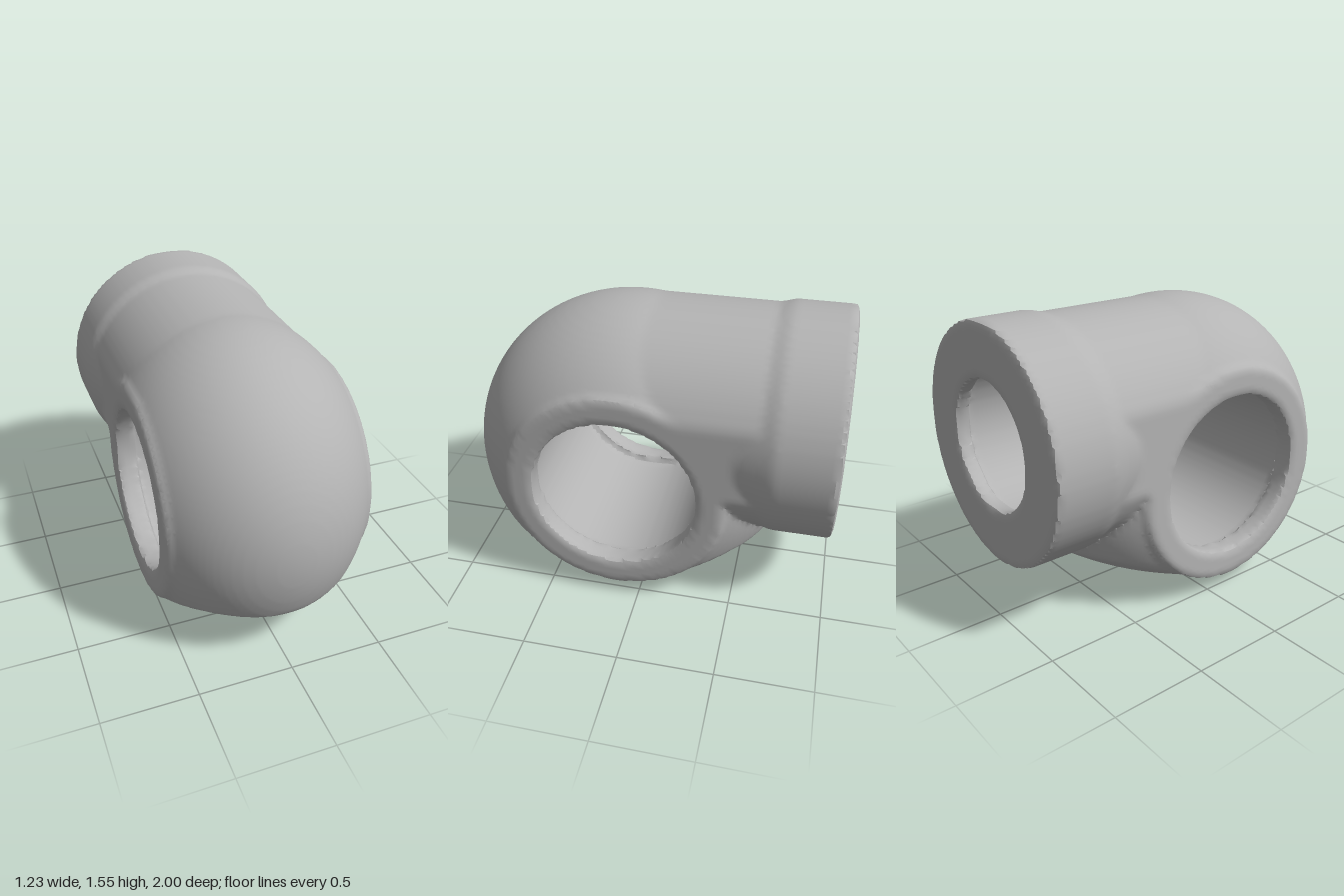
import * as THREE from 'three';
import { toCreasedNormals } from 'three/addons/utils/BufferGeometryUtils.js';

const { max, min, hypot, abs } = Math;
const STEP = 0.025;

// Main dimensions
const eye = { y: 0.67, z: 0.125, hole: 0.432, rim: 0.585, cavity: 0.475, lip: 0.12 }; // crosswise hole
const neck = { y: 0.945, r: 0.592, collar: 0.613, bore: 0.33, cavity: 0.4, lip: 0.09 }; // tube to the back
const SIDE = 0.555;

// Solid as a rule: negative inside, positive outside
function housingField(x, y, z) {
  const dy = y - eye.y, dz = z - eye.z;
  const eyeR = hypot(dy, dz);
  const neckR = hypot(x, y - neck.y);

  // Rounded head, with a shallow bowl as its underside
  const dome = (hypot(x / 0.71, dy / 0.875, dz / 0.875) - 1) * 0.8;
  const bowl = 0.005 + 0.48 * dz * dz + 0.4 * x * x + 0.8 * x * x * dz * dz - y;
  const head = max(dome, bowl);

  // Round rim of the crosswise hole and the straight neck
  const rim = eyeR - eye.rim;
  const tube = max(neckR - neck.r, z - eye.z);
  const body = max(min(head, rim, tube), abs(x) - SIDE);

  // Collar at the back, tapering forwards into the flat sides
  const collar = max(neckR - (neck.collar - 0.3 * max(0, z + 0.68)), z + 0.4);
  const outside = max(min(body, collar), -1 - z);

  // Openings, and the wider hollows behind their lips
  const hole = eyeR - eye.hole;
  const eyeHollow = max(eyeR - eye.cavity, abs(x) - SIDE + eye.lip);
  const bore = max(neckR - neck.bore, z - 0.1);
  const neckHollow = max(neckR - neck.cavity, z - 0.1, -1 + neck.lip - z);
  return max(outside, -min(hole, eyeHollow, bore, neckHollow));
}

// Skin a field: one vertex per cell crossed by the surface, one quad per crossed edge
function skin(field, low, high) {
  const n = low.map((v, i) => Math.ceil((high[i] - v) / STEP) + 1);
  const stride = [1, n[0], n[0] * n[1]];
  const values = new Float32Array(n[0] * n[1] * n[2]);
  const each = (from, fn) => {
    for (let k = from; k < n[2] - 1; k++)
      for (let j = from; j < n[1] - 1; j++)
        for (let i = from; i < n[0] - 1; i++) fn([i, j, k], i + j * stride[1] + k * stride[2]);
  };
  for (let k = 0, id = 0; k < n[2]; k++)
    for (let j = 0; j < n[1]; j++)
      for (let i = 0; i < n[0]; i++, id++)
        values[id] = field(low[0] + i * STEP, low[1] + j * STEP, low[2] + k * STEP);

  const positions = [], index = [];
  const vertexOf = new Int32Array(values.length).fill(-1);
  each(0, (cell, id) => {
    const sum = [0, 0, 0];
    let count = 0;
    for (let a = 0; a < 3; a++) {
      const b = (a + 1) % 3, c = (a + 2) % 3;
      for (let e = 0; e < 4; e++) {
        const ob = e & 1, oc = e >> 1;
        const start = id + ob * stride[b] + oc * stride[c];
        const v0 = values[start], v1 = values[start + stride[a]];
        if (v0 < 0 === v1 < 0) continue;
        sum[a] += v0 / (v0 - v1);
        sum[b] += ob;
        sum[c] += oc;
        count++;
      }
    }
    if (!count) return;
    vertexOf[id] = positions.length / 3;
    for (let a = 0; a < 3; a++) positions.push(low[a] + (cell[a] + sum[a] / count) * STEP);
  });

  each(1, (cell, id) => {
    for (let a = 0; a < 3; a++) {
      const inside = values[id] < 0;
      if (inside === values[id + stride[a]] < 0) continue;
      const b = stride[(a + 1) % 3], c = stride[(a + 2) % 3];
      const q = [id - b - c, id - c, id, id - b].map((s) => vertexOf[s]);
      if (!inside) q.reverse();
      index.push(q[0], q[1], q[2], q[0], q[2], q[3]);
    }
  });

  const geometry = new THREE.BufferGeometry();
  geometry.setAttribute('position', new THREE.Float32BufferAttribute(positions, 3));
  geometry.setIndex(index);
  return toCreasedNormals(geometry, 0.5);
}

export function createModel() {
  const greyMetal = new THREE.MeshStandardMaterial({ color: 0xb4b4b4 });
  greyMetal.name = 'greyMetal';

  const housing = new THREE.Mesh(
    skin(housingField, [-0.687, -0.06, -1.06], [0.687, 1.64, 1.08]),
    greyMetal
  );
  housing.name = 'jointHousing';

  const model = new THREE.Group();
  model.name = 'pipeJoint';
  model.add(housing);
  return model;
}
